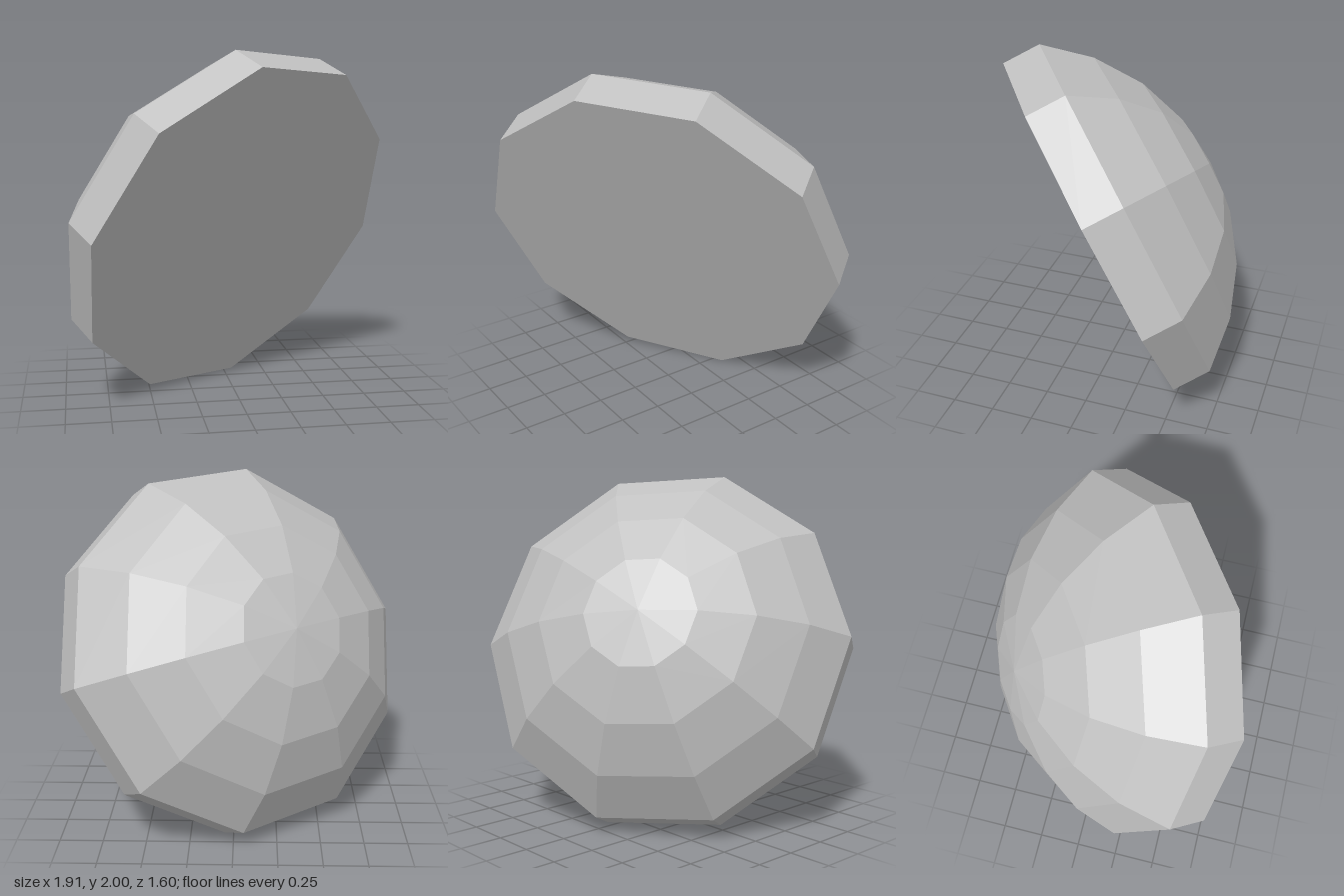
import * as THREE from 'three';

const SIDES = 10;
const RADIUS = 1.082;       // radius of the flat face and rim
const RIM = 0.228;          // height of the straight rim
const SPHERE = 1.308;       // radius of the sphere the dome is cut from
const RINGS = 4;

export function createModel() {
  const stone = new THREE.MeshStandardMaterial({ color: 0xc0c0c0, flatShading: true });
  stone.name = 'stone grey';

  const model = new THREE.Group();
  model.name = 'facetedDome';

  const addLathe = (name, points) => {
    const mesh = new THREE.Mesh(new THREE.LatheGeometry(points, SIDES), stone);
    mesh.name = name;
    model.add(mesh);
  };

  // Flat base face with straight rim
  addLathe('baseAndRim', [
    new THREE.Vector2(0, 0),
    new THREE.Vector2(RADIUS, 0),
    new THREE.Vector2(RADIUS, RIM),
  ]);

  // Shallow spherical cap in equal angular steps
  const spread = Math.asin(RADIUS / SPHERE);
  const cap = [];
  for (let i = RINGS; i >= 0; i--) {
    const a = (spread * i) / RINGS;
    cap.push(new THREE.Vector2(
      SPHERE * Math.sin(a),
      RIM + SPHERE * (Math.cos(a) - Math.cos(spread)),
    ));
  }
  addLathe('dome', cap);

  // Tilt: the dome points back, up and to its right; one corner points straight up
  const axis = new THREE.Vector3(-0.49, 0.411, -0.769).normalize();
  const side = new THREE.Vector3().crossVectors(axis, new THREE.Vector3(0, 0.882, 0.471)).normalize();
  const corner = new THREE.Vector3().crossVectors(side, axis);
  model.quaternion.setFromRotationMatrix(new THREE.Matrix4().makeBasis(side, axis, corner));
  model.position.set(0.053, 0.955, 0.12);

  const root = new THREE.Group();
  root.name = 'model';
  root.add(model);
  return root;
}
